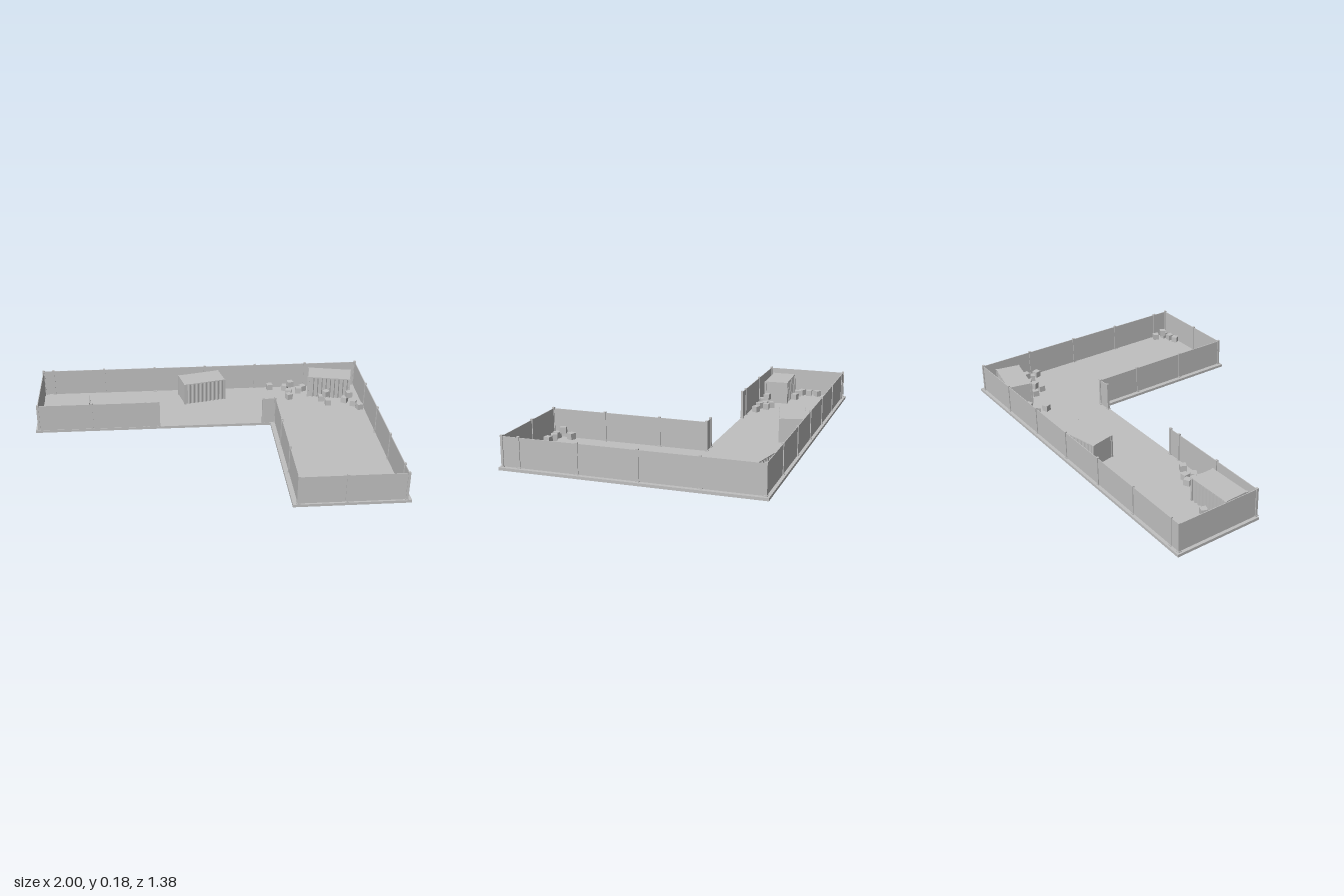
import * as THREE from 'three';

const grey = new THREE.MeshStandardMaterial({ color: 0xc0c0c0 });
grey.name = 'concrete grey';
const FLOOR = 0.015;

function box(name, parent, w, h, d, x, y, z) {
  const m = new THREE.Mesh(new THREE.BoxGeometry(w, h, d), grey);
  m.name = name;
  m.position.set(x, y + h / 2, z);
  parent.add(m);
  return m;
}

// Fence run: posts at the given points with a thin panel between neighbours
function fenceRun(parent, points) {
  points.forEach(([x, z], i) => {
    box('fencePost', parent, 0.013, 0.163, 0.013, x, FLOOR, z);
    box('postFoot', parent, 0.02, 0.004, 0.02, x, FLOOR, z);
    if (i === 0) return;
    const [px, pz] = points[i - 1];
    const panel = box('fencePanel', parent, Math.hypot(x - px, z - pz), 0.157, 0.004,
      (x + px) / 2, FLOOR, (z + pz) / 2);
    panel.rotation.y = Math.atan2(pz - z, x - px);
  });
}

// Shipping container with corrugated long sides
function container(x, z, angle) {
  const g = new THREE.Group();
  g.name = 'container';
  const L = 0.262, W = 0.144, H = 0.133, ribs = 9, inset = 0.007;
  const side = [];
  const pitch = (L - 0.03) / ribs;
  for (let i = 0; i < ribs; i++) {
    const s = -L / 2 + 0.015 + i * pitch;
    side.push([s, W / 2 - inset], [s + pitch * 0.2, W / 2 - 0.001],
      [s + pitch * 0.5, W / 2 - 0.001], [s + pitch * 0.7, W / 2 - inset]);
  }
  side.unshift([-L / 2 + 0.003, W / 2 - inset]);
  side.push([L / 2 - 0.003, W / 2 - inset]);
  const outline = [...side, ...side.map(([a, b]) => [-a, -b])];
  const shape = new THREE.Shape(outline.map(([a, b]) => new THREE.Vector2(a, b)));
  const body = new THREE.Mesh(
    new THREE.ExtrudeGeometry(shape, { depth: H - 0.004, bevelEnabled: false }), grey);
  body.name = 'corrugatedBody';
  body.rotation.x = -Math.PI / 2;
  g.add(body);
  box('roof', g, L - 0.004, 0.005, W - 0.004, 0, H - 0.005, 0);
  for (const sx of [-1, 1]) {
    for (const sz of [-1, 1]) {
      box('cornerPost', g, 0.011, H, 0.011, sx * (L / 2 - 0.0045), 0, sz * (W / 2 - 0.0045));
    }
  }
  g.position.set(x, FLOOR, z);
  g.rotation.y = angle;
  return g;
}

export function createModel() {
  const model = new THREE.Group();
  model.name = 'fencedYard';

  // L-shaped ground slab
  const plan = [[-1, 0.695], [-1, 0.2], [0.38, 0.2], [0.38, -0.69], [1, -0.69], [1, 0.695]];
  const slab = new THREE.Mesh(new THREE.ExtrudeGeometry(
    new THREE.Shape(plan.map(([a, b]) => new THREE.Vector2(a, b))),
    { depth: FLOOR, bevelEnabled: false }), grey);
  slab.name = 'groundSlab';
  slab.rotation.x = -Math.PI / 2;
  model.add(slab);

  // Perimeter fence, with an open gateway in the front of the long arm
  const fence = new THREE.Group();
  fence.name = 'fence';
  model.add(fence);
  fenceRun(fence, [
    [-0.28, -0.205], [-0.355, -0.205], [-0.67, -0.205], [-0.98, -0.205],
    [-0.98, -0.675], [-0.92, -0.675], [-0.607, -0.675], [-0.292, -0.675], [0.022, -0.675],
    [0.337, -0.675], [0.655, -0.675], [0.975, -0.675],
    [0.975, -0.36], [0.975, -0.045], [0.975, 0.27], [0.975, 0.585], [0.975, 0.677],
    [0.66, 0.677], [0.408, 0.677],
    [0.408, 0.37], [0.408, 0.055], [0.408, -0.207], [0.335, -0.205],
  ]);

  // Containers
  model.add(container(-0.005, -0.57, 0.23));
  model.add(container(-0.815, -0.305, 0.03));
  model.add(container(0.795, -0.57, -0.21));

  // Loose crates in heaps: x, z, level
  const heaps = [
    [[-0.945, -0.52, 0], [-0.94, -0.468, 0], [-0.945, -0.42, 0], [-0.912, -0.402, 0], [-0.818, -0.402, 0]],
    [[-0.65, -0.237, 0], [-0.625, -0.27, 1], [-0.567, -0.308, 0], [-0.573, -0.268, 0],
      [-0.537, -0.247, 0], [-0.521, -0.29, 0], [-0.445, -0.247, 0]],
    [[0.43, -0.648, 0], [0.525, -0.628, 0], [0.555, -0.607, 1], [0.54, -0.563, 0],
      [0.535, -0.505, 0], [0.605, -0.588, 0], [0.635, -0.615, 0]],
    [[0.73, -0.468, 0], [0.757, -0.457, 1], [0.762, -0.41, 0], [0.87, -0.435, 0],
      [0.895, -0.435, 1], [0.915, -0.388, 0], [0.943, -0.34, 0]],
    [[0.437, 0.56, 0], [0.452, 0.6, 1], [0.441, 0.645, 0], [0.485, 0.64, 0], [0.538, 0.65, 0]],
    [[0.832, 0.652, 0], [0.88, 0.645, 0], [0.902, 0.602, 1], [0.928, 0.63, 0], [0.94, 0.573, 0]],
  ];
  const size = 0.035;
  heaps.forEach((heap, h) => {
    const g = new THREE.Group();
    g.name = 'crateHeap';
    heap.forEach(([x, z, level], i) => {
      box('crate', g, size, size, size, x, FLOOR + level * size, z).rotation.y =
        ((h * 5 + i) * 0.67) % 1.2 - 0.6;
    });
    model.add(g);
  });
  return model;
}
